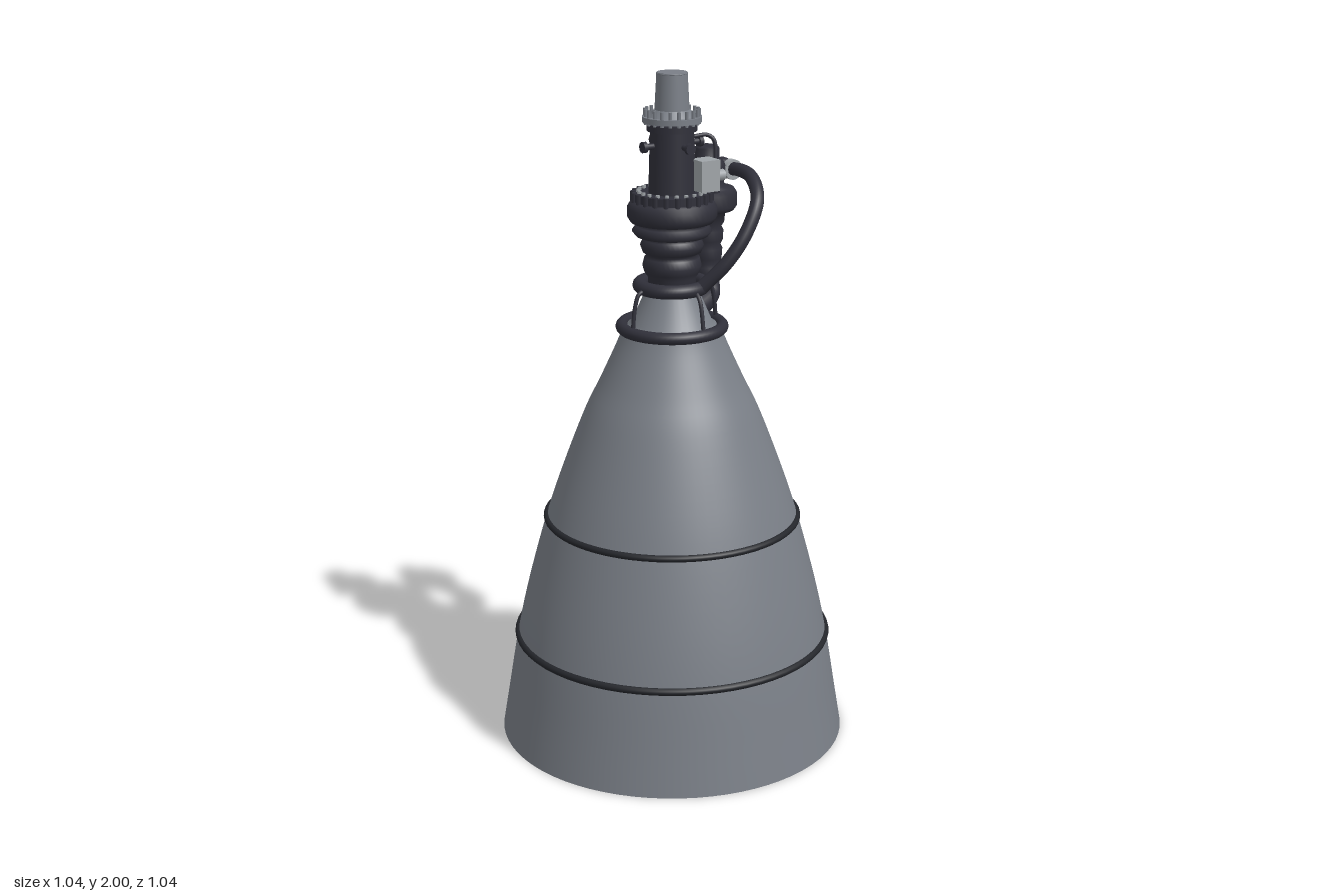
import * as THREE from 'three';

const V = (x, y, z) => new THREE.Vector3(x, y, z);

export function createModel() {
  const engine = new THREE.Group();
  engine.name = 'rocketEngine';

  const mat = (name, color, side = THREE.FrontSide) => {
    const m = new THREE.MeshStandardMaterial({ color, side });
    m.name = name;
    return m;
  };
  const steel = mat('steelGrey', 0x7a7f87, THREE.DoubleSide);
  const dark = mat('darkMetal', 0x30303a);
  const band = mat('bandBlack', 0x24262b);
  const light = mat('lightGrey', 0xa0a5a9);

  const add = (name, geo, material, x = 0, y = 0, z = 0, parent = engine) => {
    const m = new THREE.Mesh(geo, material);
    m.name = name;
    m.position.set(x, y, z);
    parent.add(m);
    return m;
  };
  const lathe = (pts, seg = 40) =>
    new THREE.LatheGeometry(pts.map(([r, y]) => new THREE.Vector2(r, y)), seg);
  const cyl = (r1, r2, h, seg = 32) => new THREE.CylinderGeometry(r1, r2, h, seg);
  const ring = (name, r, t, y, material, parent = engine, x = 0, z = 0) => {
    const g = new THREE.TorusGeometry(r, t, 12, 64).rotateX(Math.PI / 2);
    return add(name, g, material, x, y, z, parent);
  };
  const tube = (name, pts, r, material, seg = 40) =>
    add(name, new THREE.TubeGeometry(new THREE.CatmullRomCurve3(pts), seg, r, 12), material);
  // bolts spread evenly around the vertical axis
  const boltCircle = (name, n, radius, y, r, h, material) => {
    const group = new THREE.Group();
    group.name = name;
    for (let i = 0; i < n; i++) {
      const a = (i / n) * Math.PI * 2;
      add('bolt', cyl(r, r, h, 6), material, Math.cos(a) * radius, y, Math.sin(a) * radius, group);
    }
    engine.add(group);
  };

  // nozzle bell, smoothed through a few radii
  const bell = new THREE.SplineCurve([
    [0.52, 0], [0.5, 0.12], [0.468, 0.31], [0.43, 0.48], [0.375, 0.68],
    [0.325, 0.83], [0.26, 1.0], [0.212, 1.1], [0.162, 1.21], [0.143, 1.26],
  ].map(([r, y]) => new THREE.Vector2(r, y))).getPoints(36);
  add('nozzleBell', new THREE.LatheGeometry(bell, 72), steel);
  ring('lowerBand', 0.467, 0.011, 0.31, band);
  ring('upperBand', 0.375, 0.01, 0.68, band);
  ring('coolantManifold', 0.147, 0.018, 1.262, dark);

  // throat and combustion chamber
  add('throatCone', lathe([[0.145, 1.26], [0.118, 1.275], [0.068, 1.39]]), light).material = steel;
  ring('throatRing', 0.094, 0.021, 1.385, dark);
  add('chamber', lathe([
    [0.068, 1.37], [0.07, 1.41], [0.08, 1.425], [0.086, 1.445], [0.08, 1.468], [0.068, 1.475],
    [0.085, 1.485], [0.092, 1.505], [0.085, 1.522], [0.075, 1.53], [0.105, 1.533],
    [0.116, 1.547], [0.105, 1.562], [0.088, 1.57], [0.12, 1.574], [0.13, 1.59],
    [0.13, 1.615], [0.12, 1.632], [0.1, 1.64],
  ]), dark);
  add('headFlange', cyl(0.112, 0.112, 0.03, 40), dark, 0, 1.643);
  boltCircle('headBolts', 22, 0.097, 1.66, 0.006, 0.012, light);
  boltCircle('headLugs', 22, 0.112, 1.645, 0.008, 0.032, dark);

  // upper column, inlet flange and inlet pipe
  add('upperColumn', cyl(0.062, 0.068, 0.21), dark, 0, 1.755);
  add('columnCollar', cyl(0.072, 0.072, 0.02), dark, 0, 1.845);
  add('inletFlange', cyl(0.085, 0.085, 0.016, 40), steel, 0, 1.868);
  add('inletHub', cyl(0.052, 0.07, 0.02, 40), steel, 0, 1.885);
  boltCircle('flangeBolts', 20, 0.077, 1.876, 0.005, 0.044, steel);
  add('inletPipe', cyl(0.044, 0.05, 0.11), steel, 0, 1.945);
  ring('inletLip', 0.041, 0.004, 1.997, steel).scale.y = 0.7;

  // four short ports around the column
  for (let i = 0; i < 4; i++) {
    const port = new THREE.Group();
    port.name = 'columnPort';
    port.rotation.y = i * Math.PI / 2;
    add('portStem', cyl(0.009, 0.009, 0.04, 10).rotateZ(Math.PI / 2), dark, 0.078, 1.795, 0, port);
    add('portCap', cyl(0.016, 0.016, 0.012, 12).rotateZ(Math.PI / 2), dark, 0.094, 1.795, 0, port);
    engine.add(port);
  }

  // turbopump beside the chamber
  const pump = new THREE.Group();
  pump.name = 'turbopump';
  pump.position.set(0.19, 0, -0.106);
  engine.add(pump);
  add('pumpBody', lathe([
    [0.036, 1.35], [0.043, 1.37], [0.044, 1.395], [0.038, 1.405], [0.045, 1.42], [0.047, 1.45],
    [0.041, 1.462], [0.048, 1.475], [0.05, 1.505], [0.044, 1.517], [0.052, 1.53], [0.055, 1.56],
    [0.08, 1.567], [0.089, 1.58], [0.089, 1.618], [0.08, 1.632], [0.052, 1.636], [0.05, 1.66],
    [0.056, 1.668], [0.056, 1.7], [0.046, 1.715], [0.036, 1.722], [0.036, 1.75], [0.03, 1.757], [0, 1.759],
  ], 32), dark, 0, 0, 0, pump);
  tube('turbineExhaust', [V(0.19, 1.38, -0.106), V(0.194, 1.345, -0.103), V(0.188, 1.315, -0.09),
    V(0.16, 1.3, -0.07), V(0.11, 1.285, -0.05)], 0.034, dark);

  // hose from pump to throat ring
  add('hoseElbow', new THREE.SphereGeometry(0.033, 20, 14), dark, 0.24, 1.685, -0.1);
  add('hoseCollar', cyl(0.03, 0.03, 0.022, 20).rotateX(Math.PI / 2), light, 0.253, 1.685, -0.068);
  tube('feedHose', [V(0.25, 1.685, -0.09), V(0.252, 1.69, -0.02), V(0.243, 1.68, 0.05),
    V(0.21, 1.63, 0.125), V(0.155, 1.54, 0.145), V(0.1, 1.46, 0.13), V(0.045, 1.39, 0.09)], 0.02, dark, 60);

  // control box and valve fittings
  add('controlBox', new THREE.BoxGeometry(0.062, 0.09, 0.06), light, 0.072, 1.71, 0.063);
  add('boxArm', new THREE.BoxGeometry(0.07, 0.022, 0.02), light, 0.1, 1.7, 0.045);
  add('valveBody', cyl(0.017, 0.017, 0.04, 12).rotateZ(Math.PI / 2), light, 0.125, 1.7, 0.045);
  add('valveKnob', cyl(0.012, 0.012, 0.03, 12), dark, 0.12, 1.665, 0.045);
  tube('controlLine', [V(0.06, 1.815, 0.02), V(0.105, 1.815, 0.025), V(0.12, 1.8, 0.035), V(0.12, 1.72, 0.045)], 0.006, dark);

  // thin drain lines down to the manifold
  [-1, 1].forEach((s) => tube('drainLine',
    [V(s * 0.1, 1.385, 0.015), V(s * 0.122, 1.375, 0.015), V(s * 0.135, 1.34, 0.015), V(s * 0.144, 1.26, 0.015)], 0.006, dark));
  tube('frontDrainLine', [V(0.015, 1.385, 0.1), V(0.015, 1.36, 0.125), V(0.015, 1.26, 0.147)], 0.006, dark);

  return engine;
}
